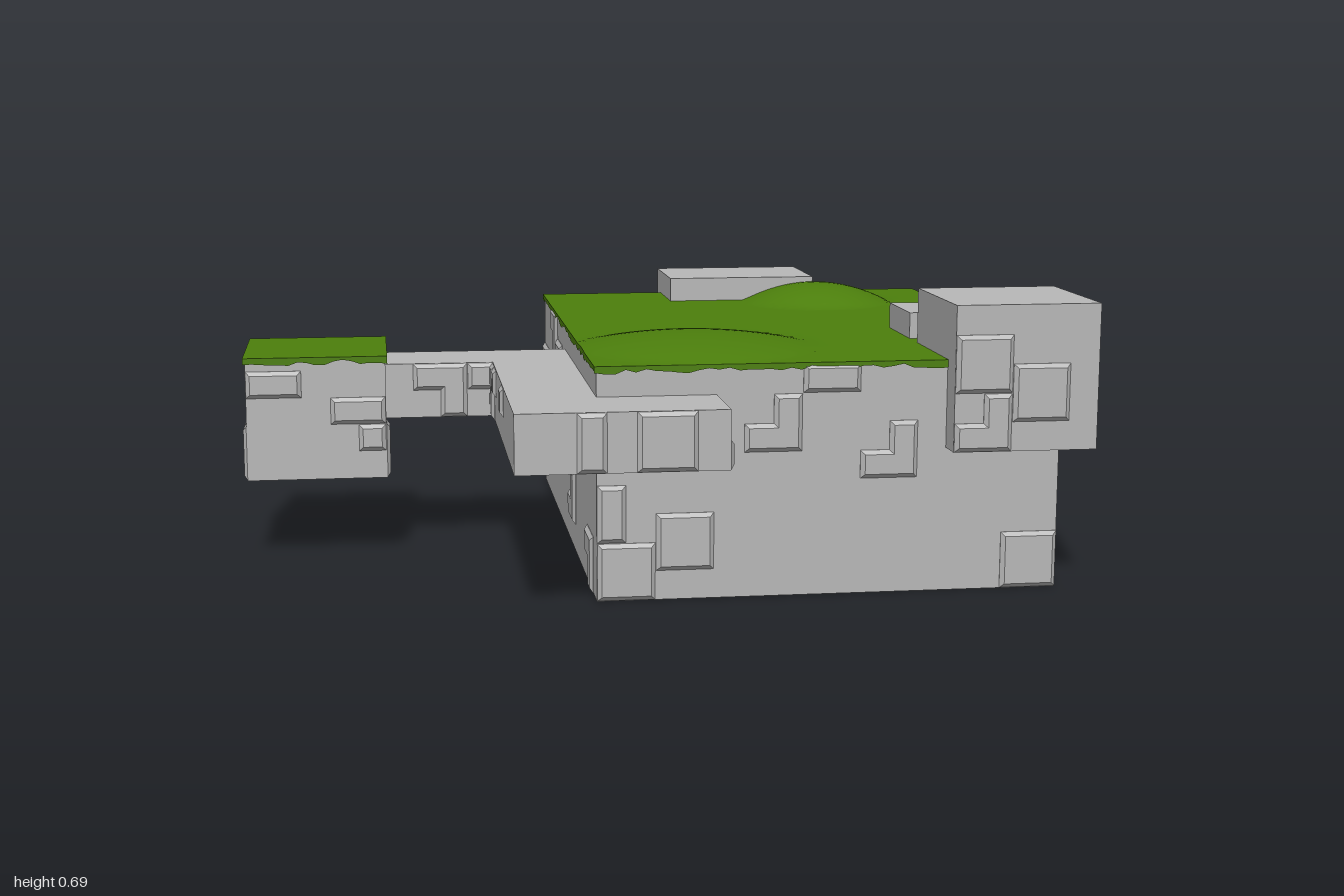
import * as THREE from 'three';
import { toCreasedNormals } from 'three/addons/utils/BufferGeometryUtils.js';

const C = 0.0685; // panel grid cell

export function createModel() {
  const model = new THREE.Group();
  model.name = 'floatingBlocks';
  const stone = new THREE.MeshStandardMaterial({ color: 0xb8b8b8 });
  stone.name = 'stone';
  const grass = new THREE.MeshStandardMaterial({ color: 0x4c7f0c, side: THREE.DoubleSide });
  grass.name = 'grass';

  let seed = 7;
  const rand = () => (seed = (seed * 16807) % 2147483647) / 2147483647;

  // Plain stone volumes, given by their extents
  function block(name, x0, x1, y0, y1, z0, z1) {
    const mesh = new THREE.Mesh(new THREE.BoxGeometry(x1 - x0, y1 - y0, z1 - z0), stone);
    mesh.position.set((x0 + x1) / 2, (y0 + y1) / 2, (z0 + z1) / 2);
    mesh.name = name;
    model.add(mesh);
    return { x0, x1, y0, y1, z0, z1 };
  }
  const main = block('mainBlock', -0.173, 0.922, 0, 0.548, -0.754, 0.617);
  const outlying = block('outlyingBlock', -0.988, -0.645, 0.205, 0.508, -0.209, 0.134);
  const corner = block('cornerBlock', 0.648, 0.99, 0.343, 0.685, 0.342, 0.682);
  block('topStep', 0.648, 0.85, 0.5, 0.615, 0.068, 0.27);
  const rear = block('backBlock', 0.168, 0.578, 0.343, 0.615, -0.82, -0.55);
  const bridge = block('bridge', -0.645, -0.375, 0.343, 0.48, -0.14, 0.065);
  const side = block('sideWalkway', -0.375, -0.173, 0.343, 0.48, -0.14, 0.812);
  const front = block('frontWalkway', -0.173, 0.105, 0.343, 0.48, 0.617, 0.812);

  // Grass sheet: the outermost ring of the grid folds down as a ragged fringe
  function lawn(name, x0, x1, z0, z1, y, nx, nz, bumps) {
    const g = new THREE.PlaneGeometry(1, 1, nx + 2, nz + 2);
    const p = g.attributes.position;
    for (let j = 0, k = 0; j <= nz + 2; j++) {
      for (let i = 0; i <= nx + 2; i++, k++) {
        const s = THREE.MathUtils.clamp((i - 1) / nx, 0, 1);
        const t = THREE.MathUtils.clamp((j - 1) / nz, 0, 1);
        const x = x0 + (x1 - x0) * s, z = z0 + (z1 - z0) * t;
        let h = y;
        for (const [bx, bz, r, height] of bumps) {
          const d = Math.hypot(x - bx, z - bz) / r;
          if (d < 1) h += height * (1 - d * d);
        }
        const rim = i === 0 || j === 0 || i === nx + 2 || j === nz + 2;
        p.setXYZ(k, x, rim ? y - 0.006 - 0.014 * rand() : h, z);
      }
    }
    const mesh = new THREE.Mesh(toCreasedNormals(g, 0.7), grass);
    mesh.name = name;
    model.add(mesh);
  }
  lawn('mainLawn', -0.178, 0.927, -0.759, 0.622, 0.551, 46, 58,
    [[0.1, 0.33, 0.29, 0.031], [0.58, -0.51, 0.205, 0.052]]);
  lawn('outlyingLawn', -0.993, -0.64, -0.214, 0.139, 0.512, 16, 16, []);

  // Turn, plane distance, left edge as seen and width of each wall of a block
  const walls = {
    front: (b) => [0, b.z1, b.x0, b.x1 - b.x0],
    right: (b) => [Math.PI / 2, b.x1, -b.z1, b.z1 - b.z0],
    back: (b) => [Math.PI, -b.z0, -b.x1, b.x1 - b.x0],
    left: (b) => [-Math.PI / 2, -b.x0, b.z0, b.z1 - b.z0],
  };

  // Raised bevelled panel placed in grid cells; notch names the quarter cut away
  function panel(b, face, col, row, w, h, notch) {
    const [turn, plane, left] = walls[face](b);
    const W = w * C, H = h * C;
    let pts = [[0, 0], [W, 0], [W, H], [0, H]];
    if (notch) {
      pts = [[0, 0], [W, 0], [W, H / 2], [W / 2, H / 2], [W / 2, H], [0, H]]
        .map(([x, y]) => [notch[1] === 'R' ? x : W - x, notch[0] === 'U' ? y : H - y]);
    }
    const shape = new THREE.Shape(pts.map(([x, y]) =>
      new THREE.Vector2(left + col * C + x, b.y0 + row * C + y)));
    const geo = new THREE.ExtrudeGeometry(shape, {
      depth: 0.002, bevelEnabled: true, bevelSegments: 1,
      bevelThickness: 0.008, bevelSize: 0.01, bevelOffset: -0.011,
    });
    geo.translate(0, 0, plane - 0.001);
    const mesh = new THREE.Mesh(geo, stone);
    mesh.rotation.y = turn;
    mesh.name = face + 'Panel';
    model.add(mesh);
  }

  // Large panels of the two principal walls: column, row, cells wide, cells high
  const frontPanels = [[0, 0, 2, 2], [2, 1, 2, 2], [0, 2, 1, 2], [5, 5, 2, 2, 'UL'],
    [7, 7, 2, 1], [9, 4, 2, 2, 'UL'], [14, 0, 2, 2]];
  for (const p of frontPanels) panel(main, 'front', ...p);
  const rightPanels = [[0, 5, 2, 1], [1, 2, 2, 2, 'UL'], [3, 4, 2, 2], [7, 3, 2, 2],
    [12, 5, 2, 2], [12, 1, 2, 2, 'UL'], [17, 3, 2, 2], [19, 2, 1, 2]];
  for (const p of rightPanels) panel(main, 'right', ...p);

  // Other walls: panels scattered over the grid without overlap
  const pick = (list) => list[Math.floor(rand() * list.length)];
  function scatter(b, face, count) {
    const cols = Math.round(walls[face](b)[3] / C);
    const rows = Math.floor((b.y1 - b.y0) / C + 0.01);
    const used = new Set();
    for (let tries = 0; count > 0 && tries < 60; tries++) {
      const [w, h] = pick([[2, 2], [2, 2], [1, 1], [1, 2], [2, 1]]);
      const col = Math.floor(rand() * (cols - w + 1));
      const row = Math.floor(rand() * (rows - h + 1));
      const cells = [];
      for (let i = 0; i < w; i++) for (let j = 0; j < h; j++) cells.push(`${col + i},${row + j}`);
      if (cells.some((c) => used.has(c))) continue;
      cells.forEach((c) => used.add(c));
      panel(b, face, col, row, w, h, w * h === 4 ? pick([null, 'UL', 'UR', 'LL', 'LR']) : null);
      count--;
    }
  }
  scatter(main, 'back', 9);
  scatter(main, 'left', 9);
  for (const face of Object.keys(walls)) scatter(outlying, face, 3);
  for (const face of ['front', 'right']) scatter(corner, face, 3);
  scatter(rear, 'back', 4);
  for (const face of ['front', 'back']) scatter(bridge, face, 2);
  scatter(side, 'left', 3);
  for (const b of [side, front]) scatter(b, 'front', 1);
  scatter(front, 'right', 1);

  return model;
}
